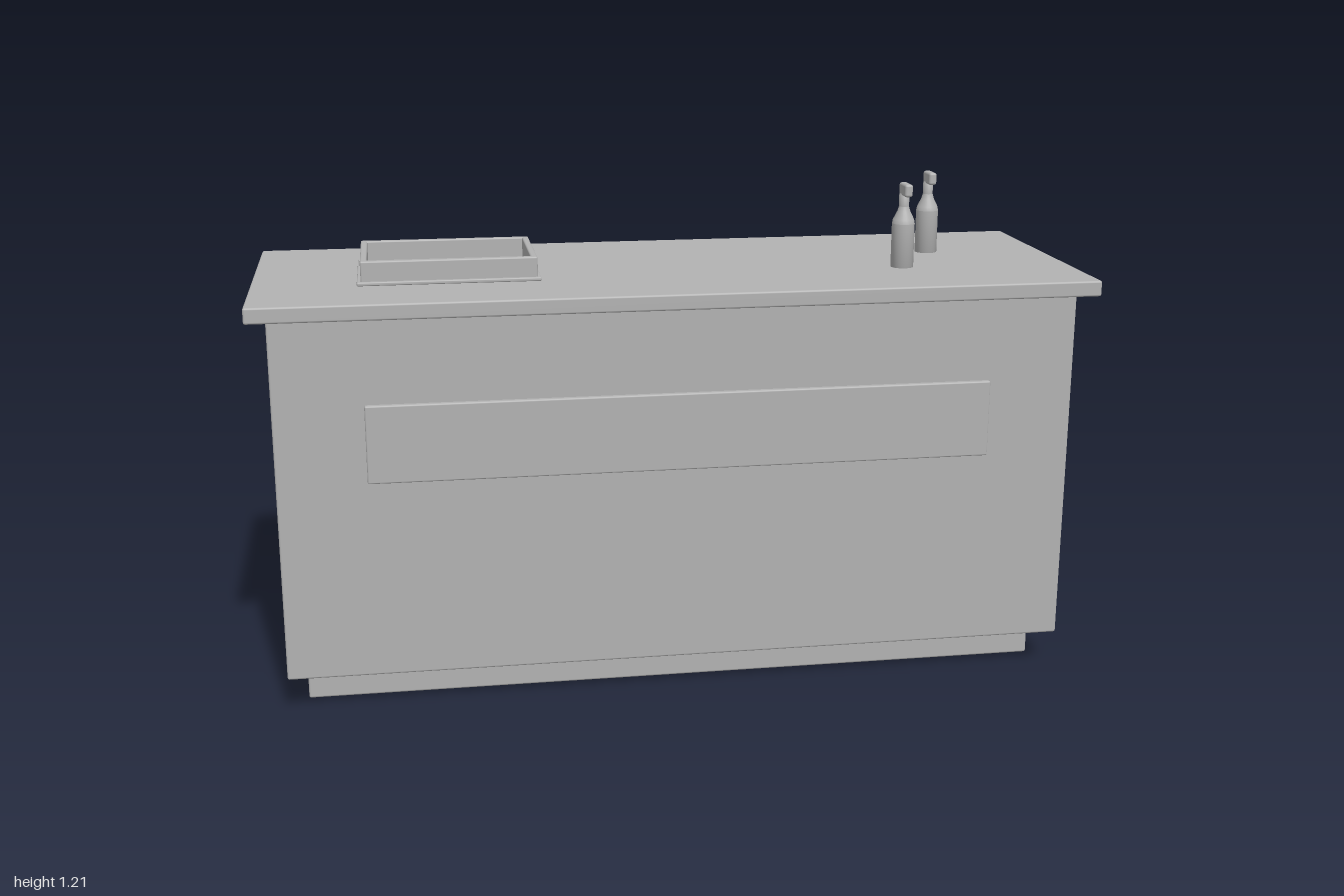
import * as THREE from 'three';
import { RoundedBoxGeometry } from 'three/addons/geometries/RoundedBoxGeometry.js';

export function createModel() {
  const model = new THREE.Group();
  model.name = 'serviceCounter';
  const grey = new THREE.MeshStandardMaterial({ color: 0xb2b2b2 });
  grey.name = 'plain grey';

  // Softly bevelled box given by its limits on each axis
  function block(name, [x0, x1], [y0, y1], [z0, z1], bevel = 0.005, parent = model) {
    const geometry = new RoundedBoxGeometry(x1 - x0, y1 - y0, z1 - z0, 2, bevel);
    const mesh = new THREE.Mesh(geometry, grey);
    mesh.position.set((x0 + x1) / 2, (y0 + y1) / 2, (z0 + z1) / 2);
    mesh.name = name;
    parent.add(mesh);
    return mesh;
  }

  // Cabinet: recessed plinth, body, front panel and overhanging top
  block('plinth', [-0.912, 0.912], [0, 0.088], [-0.317, 0.235]);
  block('cabinetBody', [-0.955, 0.955], [0.088, 0.962], [-0.317, 0.32]);
  block('frontPanel', [-0.745, 0.745], [0.57, 0.757], [0.317, 0.333], 0.004);
  block('counterTop', [-1, 1], [0.962, 1], [-0.36, 0.36]);

  // Open tray: thin base flange with four upright walls
  const tray = new THREE.Group();
  tray.name = 'tray';
  model.add(tray);
  block('trayBase', [-0.752, -0.318], [1, 1.009], [-0.154, 0.154], 0.003, tray);
  const [x0, x1, z, t] = [-0.743, -0.326, 0.145, 0.016];
  const wallY = [1.005, 1.057];
  block('trayWallFront', [x0, x1], wallY, [z - t, z], 0.004, tray);
  block('trayWallBack', [x0, x1], wallY, [-z, t - z], 0.004, tray);
  block('trayWallRight', [x0, x0 + t], wallY, [-z, z], 0.004, tray);
  block('trayWallLeft', [x1 - t, x1], wallY, [-z, z], 0.004, tray);

  // Pump bottles: straight body, sloped shoulder, slim neck and forward spout
  const body = [[0, 0], [0.028, 0], [0.028, 0.108]];
  const shoulder = [[0.028, 0.108], [0.026, 0.118], [0.016, 0.138], [0.0125, 0.15]];
  const neck = [[0.0125, 0.15], [0.0125, 0.182], [0, 0.182]];
  const lathe = (points) =>
    new THREE.LatheGeometry(points.map(([r, y]) => new THREE.Vector2(r, y)), 24);
  for (const [x, bz] of [[0.58, 0.107], [0.7, -0.085]]) {
    const bottle = new THREE.Group();
    bottle.name = 'pumpBottle';
    bottle.position.set(x, 1, bz);
    const parts = { bottleBody: body, bottleShoulder: shoulder, bottleNeck: neck };
    for (const [name, points] of Object.entries(parts)) {
      const mesh = new THREE.Mesh(lathe(points), grey);
      mesh.name = name;
      bottle.add(mesh);
    }
    block('pumpSpout', [-0.01, 0.01], [0.177, 0.208], [-0.015, 0.041], 0.006, bottle);
    model.add(bottle);
  }
  return model;
}
